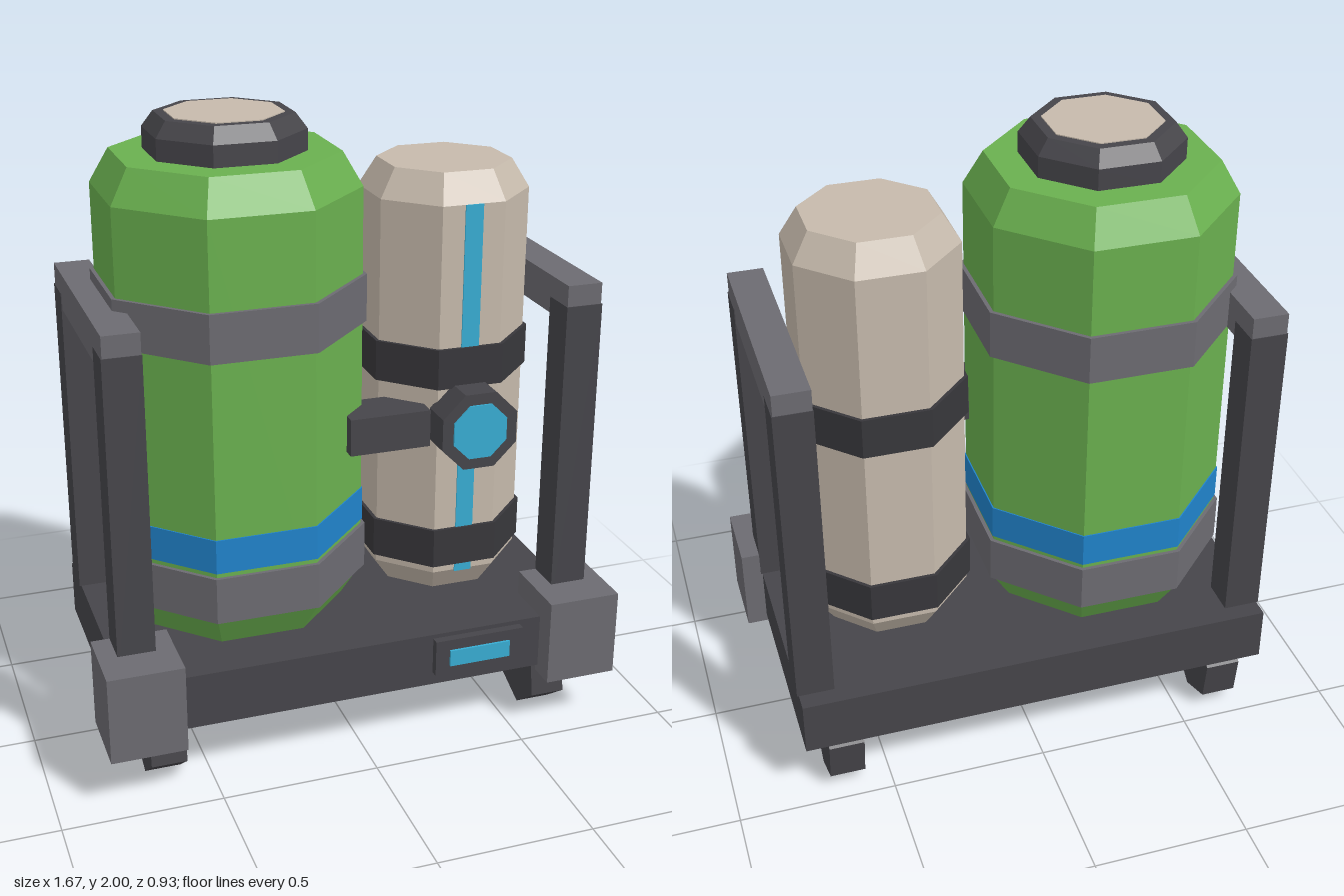
import * as THREE from 'three';

const mat = (name, color) => {
  const m = new THREE.MeshStandardMaterial({ color });
  m.name = name;
  return m;
};

export function createModel() {
  const root = new THREE.Group();
  root.name = 'twinTankUnit';

  const green = mat('green', 0x6ab04f);
  const beige = mat('beige', 0xc6baac);
  const grey = mat('grey', 0x6c6b71);
  const dark = mat('dark grey', 0x46454a);
  const black = mat('charcoal', 0x38373b);
  const blue = mat('blue', 0x2083cb);
  const cyan = mat('cyan', 0x38add3);

  // Faceted mesh with hard edges
  const add = (parent, name, geometry, material, x = 0, y = 0, z = 0) => {
    const g = geometry.index ? geometry.toNonIndexed() : geometry;
    g.computeVertexNormals();
    const mesh = new THREE.Mesh(g, material);
    mesh.name = name;
    mesh.position.set(x, y, z);
    parent.add(mesh);
    return mesh;
  };

  // Box given by its extents on each axis
  const box = (name, material, [x0, x1], [y0, y1], [z0, z1], parent = root) =>
    add(parent, name, new THREE.BoxGeometry(x1 - x0, y1 - y0, z1 - z0), material,
      (x0 + x1) / 2, (y0 + y1) / 2, (z0 + z1) / 2);

  // Upright octagonal solid from [half width across flats, height] pairs
  const ACROSS = 1 / Math.cos(Math.PI / 8);
  const octagon = (parent, name, material, profile) => {
    const pts = profile.map(([r, y]) => new THREE.Vector2(r * ACROSS, y));
    pts.unshift(new THREE.Vector2(0, profile[0][1]));
    pts.push(new THREE.Vector2(0, profile[profile.length - 1][1]));
    return add(parent, name, new THREE.LatheGeometry(pts, 8, Math.PI / 8), material);
  };
  const band = (parent, name, material, r, y0, y1) =>
    octagon(parent, name, material, [[r, y0], [r, y1]]);

  const TANK_Z = -0.036;

  // Large tank with cap, clamps and stripe
  const big = new THREE.Group();
  big.name = 'largeTank';
  big.position.set(-0.305, 0, TANK_Z);
  root.add(big);
  octagon(big, 'largeTankBody', green, [[0.32, 0.42], [0.38, 0.52], [0.38, 1.78], [0.323, 1.885]]);
  octagon(big, 'largeTankCap', dark, [[0.228, 1.88], [0.228, 1.95], [0.195, 1.997]]);
  band(big, 'capDisc', beige, 0.166, 1.99, 2.0);
  band(big, 'upperClamp', grey, 0.392, 1.36, 1.51);
  band(big, 'lowerClamp', grey, 0.392, 0.525, 0.675);
  band(big, 'blueStripe', blue, 0.384, 0.69, 0.8);

  // Small tank with clamps and level stripe
  const small = new THREE.Group();
  small.name = 'smallTank';
  small.position.set(0.397, 0, TANK_Z);
  root.add(small);
  octagon(small, 'smallTankBody', beige, [[0.195, 0.42], [0.246, 0.5], [0.246, 1.72], [0.194, 1.81]]);
  band(small, 'upperStrap', black, 0.257, 1.14, 1.27);
  band(small, 'lowerStrap', black, 0.257, 0.525, 0.655);
  box('levelStripe', cyan, [-0.029, 0.029], [0.495, 1.72], [0.243, 0.25], small);

  // Valve and pipe arm
  const disc = (r, depth) =>
    new THREE.CylinderGeometry(r * ACROSS, r * ACROSS, depth, 8, 1, false, Math.PI / 8).rotateX(Math.PI / 2);
  add(root, 'valve', disc(0.124, 0.11), dark, 0.397, 1.025, 0.255);
  add(root, 'valveFace', disc(0.088, 0.008), cyan, 0.397, 1.025, 0.312);
  box('pipeArm', dark, [0, 0.262], [0.963, 1.083], [0.08, 0.235]);

  // Base and display panel
  box('base', dark, [-0.77, 0.77], [0.2, 0.38], [-0.467, 0.392]);
  box('panel', dark, [0.226, 0.526], [0.244, 0.366], [0.38, 0.418]);
  box('panelScreen', cyan, [0.273, 0.478], [0.275, 0.33], [0.417, 0.426]);

  // Corner blocks, roll frames and feet on both sides
  for (const [label, s] of [['left', 1], ['right', -1]]) {
    const span = (a, b) => (s > 0 ? [a, b] : [-b, -a]);
    box(label + 'CornerBlock', grey, span(0.598, 0.835), [0.175, 0.46], [0.223, 0.467]);
    box(label + 'TopRail', grey, span(0.66, 0.773), [1.355, 1.475], [-0.407, 0.337]);
    box(label + 'FrontPost', dark, span(0.658, 0.776), [0.38, 1.408], [0.222, 0.34]);
    box(label + 'BackPost', dark, span(0.658, 0.776), [0.38, 1.408], [-0.409, -0.291]);
    for (const [end, z] of [['Front', 0.264], ['Back', -0.342]]) {
      const hex = new THREE.CylinderGeometry(0.135, 0.135, 0.113, 6, 1, false, Math.PI / 6)
        .rotateZ(Math.PI / 2).rotateX(-0.13);
      add(root, label + end + 'Foot', hex, dark, s * 0.641, 0.134, z);
    }
  }
  return root;
}
